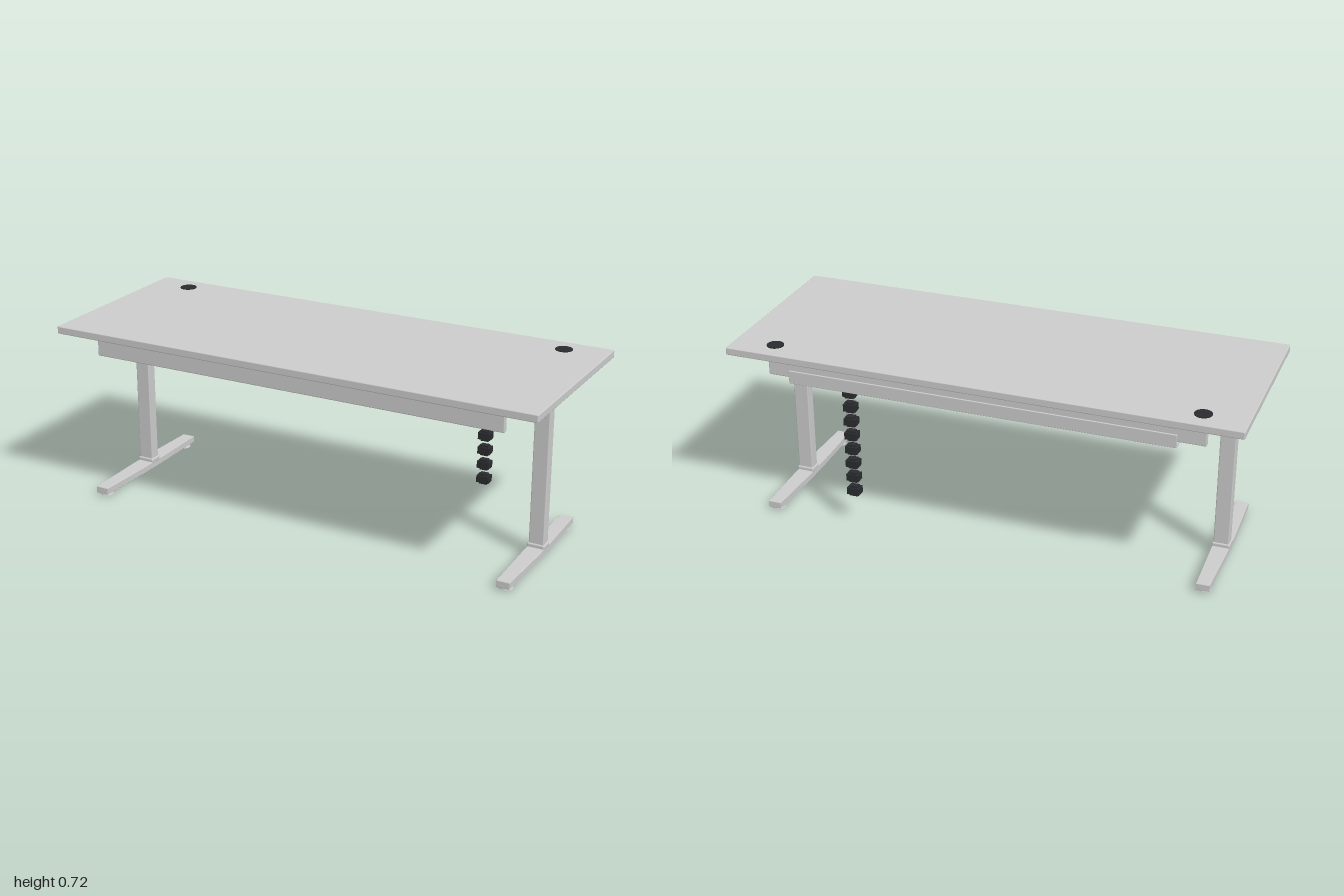
import * as THREE from 'three';
import { RoundedBoxGeometry } from 'three/addons/geometries/RoundedBoxGeometry.js';

const grey = new THREE.MeshStandardMaterial({ color: 0xcccccc });
const dark = new THREE.MeshStandardMaterial({ color: 0x2a2b2e });

export function createModel() {
  const desk = new THREE.Group();
  desk.name = 'desk';

  const add = (parent, name, geometry, x, y, z, material = grey) => {
    const mesh = new THREE.Mesh(geometry, material);
    mesh.name = name;
    mesh.position.set(x, y, z);
    parent.add(mesh);
    return mesh;
  };
  const box = (w, h, d, r) => new RoundedBoxGeometry(w, h, d, 2, r);

  // Worktop with softened edges
  add(desk, 'worktop', box(2, 0.03, 0.762, 0.004), 0, 0.705, 0);

  // Cable grommets at the back corners
  for (const s of [-1, 1]) {
    add(desk, 'grommet', new THREE.CylinderGeometry(0.033, 0.033, 0.006, 32), s * 0.832, 0.72, -0.296, dark);
  }

  // Foot bar: wide at the middle, narrower at both ends
  const plan = new THREE.Shape([
    [-0.024, -0.318], [0.024, -0.318], [0.031, -0.06], [0.031, 0.06],
    [0.024, 0.318], [-0.024, 0.318], [-0.031, 0.06], [-0.031, -0.06],
  ].map(([x, y]) => new THREE.Vector2(x, y)));
  const footGeometry = new THREE.ExtrudeGeometry(plan, {
    depth: 0.024, bevelThickness: 0.002, bevelSize: 0.002, bevelSegments: 1,
  });
  footGeometry.rotateX(-Math.PI / 2);

  // Leg assemblies, one per side
  for (const s of [-1, 1]) {
    const leg = new THREE.Group();
    leg.name = s > 0 ? 'leftLeg' : 'rightLeg';
    leg.position.x = s * 0.873;
    desk.add(leg);
    add(leg, 'column', box(0.06, 0.645, 0.045, 0.004), 0, 0.3625, -0.018);
    add(leg, 'columnCollar', box(0.07, 0.02, 0.055, 0.006), 0, 0.044, -0.018);
    add(leg, 'mountingPlate', box(0.155, 0.009, 0.122, 0.003), 0, 0.686, 0);
    add(leg, 'foot', footGeometry, 0, 0.013, 0);
    for (const z of [-0.284, 0.284]) {
      add(leg, 'glide', new THREE.CylinderGeometry(0.023, 0.027, 0.012, 24), 0, 0.006, z);
    }
  }

  // Long rails under the front and back of the top
  for (const z of [-0.308, 0.31]) {
    add(desk, 'rail', box(1.71, 0.085, 0.021, 0.004), 0, 0.6475, z);
  }

  // Cable tray: slotted floor and two lips
  const tray = new THREE.Group();
  tray.name = 'cableTray';
  desk.add(tray);
  const floor = new THREE.Shape([
    new THREE.Vector2(-0.755, -0.1), new THREE.Vector2(0.755, -0.1),
    new THREE.Vector2(0.755, 0.1), new THREE.Vector2(-0.755, 0.1),
  ]);
  for (let i = -4; i <= 4; i++) {
    const x = i * 0.172, a = 0.016, b = 0.05;
    floor.holes.push(new THREE.Path([
      new THREE.Vector2(x - a, -b), new THREE.Vector2(x - a, b),
      new THREE.Vector2(x + a, b), new THREE.Vector2(x + a, -b),
    ]));
  }
  const floorGeometry = new THREE.ExtrudeGeometry(floor, { depth: 0.007, bevelEnabled: false });
  floorGeometry.rotateX(-Math.PI / 2);
  add(tray, 'trayFloor', floorGeometry, 0, 0.597, -0.244);
  for (const z of [-0.141, -0.347]) {
    add(tray, 'trayLip', box(1.51, 0.052, 0.007, 0.002), 0, 0.623, z);
  }

  // Hanging cable spine made of crossed blocks, turning slightly on the way
  const spine = new THREE.Group();
  spine.name = 'cableSpine';
  desk.add(spine);
  for (let i = 0; i < 8; i++) {
    const link = new THREE.Group();
    link.name = 'spineLink';
    link.position.set(0.535, 0.141 + i * 0.0606, -0.283);
    link.rotation.y = i * 0.015;
    spine.add(link);
    add(link, 'linkBody', new THREE.BoxGeometry(0.05, 0.028, 0.038), 0, 0, 0, dark);
    add(link, 'linkCore', new THREE.BoxGeometry(0.032, 0.043, 0.025), 0, 0, 0, dark);
  }

  return desk;
}
